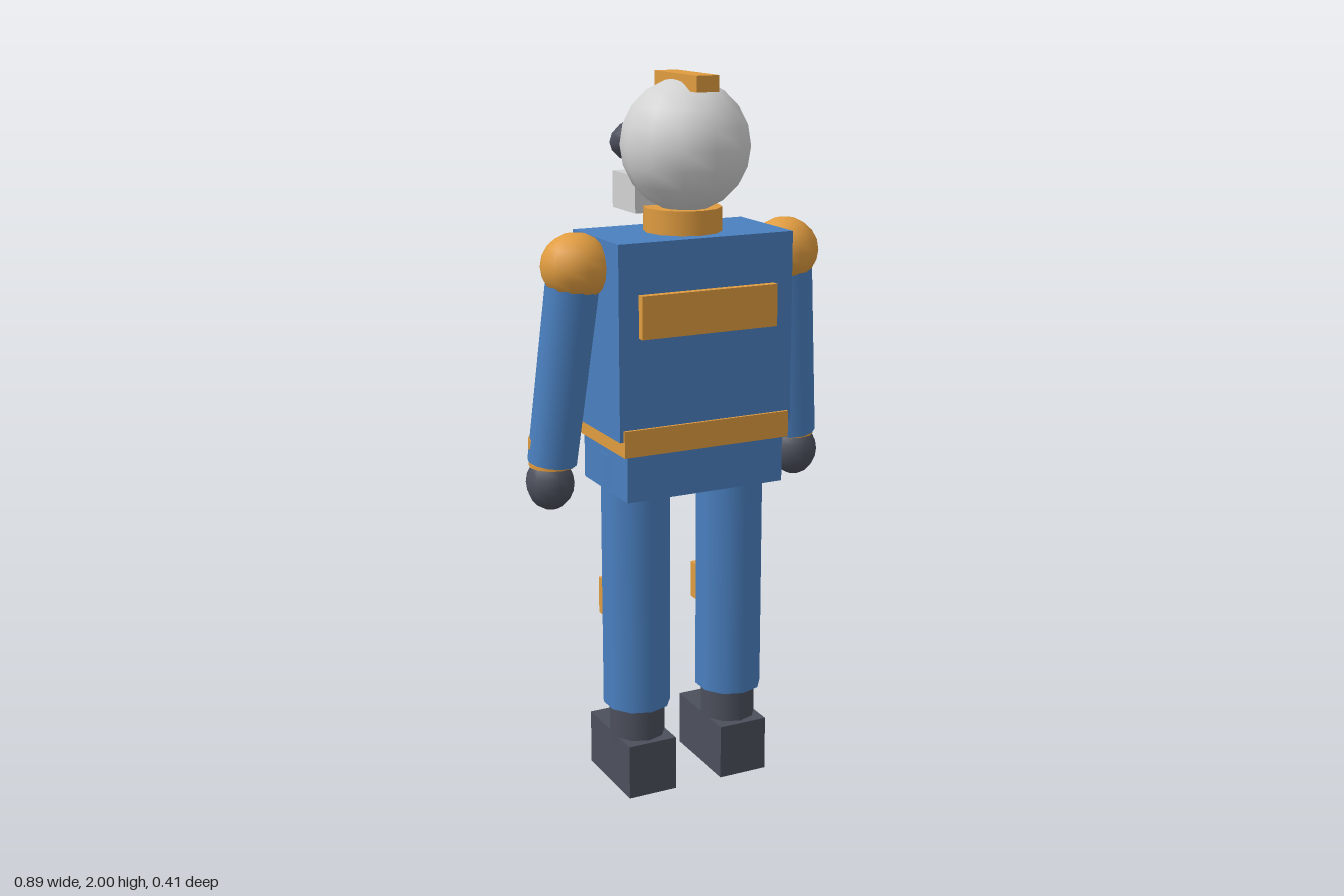
import * as THREE from 'three';

const mat = (name, color) => {
  const m = new THREE.MeshStandardMaterial({ color });
  m.name = name;
  return m;
};

export function createModel() {
  const blue = mat('suit blue', 0x4a80c0);
  const orange = mat('trim orange', 0xe09c40);
  const grey = mat('helmet grey', 0xd2d2d2);
  const dark = mat('dark grey', 0x4c505c);
  const model = new THREE.Group();
  model.name = 'suitedFigure';

  const add = (name, geometry, material, x, y, z) => {
    const mesh = new THREE.Mesh(geometry, material);
    mesh.name = name;
    mesh.position.set(x, y, z);
    model.add(mesh);
    return mesh;
  };
  // Box given by centre x, width and its y and z ranges
  const box = (name, material, x, w, y0, y1, z0, z1) =>
    add(name, new THREE.BoxGeometry(w, y1 - y0, z1 - z0), material, x, (y0 + y1) / 2, (z0 + z1) / 2);
  // Ellipsoid given by centre and radii
  const ball = (name, material, x, y, z, rx, ry, rz, seg = 12, rings = 10) =>
    add(name, new THREE.SphereGeometry(1, seg, rings).scale(rx, ry, rz), material, x, y, z);
  // Upright cylinder with separate x and z radii
  const post = (name, material, x, z, y0, y1, rx, rz, seg = 12) =>
    add(name, new THREE.CylinderGeometry(1, 1, y1 - y0, seg).scale(rx, 1, rz), material, x, (y0 + y1) / 2, z);

  // Head, with the face towards -z
  ball('helmet', grey, 0, 1.812, 0.018, 0.171, 0.177, 0.185);
  ball('visor', dark, 0, 1.813, -0.135, 0.15, 0.073, 0.072);
  box('breather', grey, 0, 0.234, 1.63, 1.73, -0.19, -0.045);
  box('crest', orange, 0, 0.066, 1.958, 2.0, -0.097, 0.148);
  post('neck', orange, 0, 0.004, 1.57, 1.65, 0.106, 0.11);

  // Body
  box('torso', blue, 0, 0.514, 1.06, 1.585, -0.141, 0.149);
  box('pelvis', blue, 0, 0.47, 0.89, 1.07, -0.136, 0.146);
  box('belt', orange, 0, 0.494, 1.018, 1.091, -0.148, 0.157);
  box('buckle', dark, 0, 0.124, 1.02, 1.09, -0.165, -0.14);
  box('frontBand', orange, 0, 0.4, 1.335, 1.45, 0.14, 0.171);
  box('backBand', orange, 0, 0.4, 1.335, 1.45, -0.162, -0.13);

  for (const s of [-1, 1]) {
    const side = s > 0 ? 'left' : 'right';

    // Arm: the sleeve slopes outwards and towards -z
    ball(side + 'Shoulder', orange, s * 0.314, 1.51, 0.005, 0.095, 0.091, 0.093);
    const top = new THREE.Vector3(s * 0.318, 1.51, 0.005);
    const wrist = new THREE.Vector3(s * 0.373, 0.975, -0.04);
    const axis = top.clone().sub(wrist);
    const mid = top.clone().add(wrist).multiplyScalar(0.5);
    const sleeve = add(side + 'Sleeve', new THREE.CylinderGeometry(0.073, 0.068, axis.length(), 12), blue, mid.x, mid.y, mid.z);
    sleeve.quaternion.setFromUnitVectors(new THREE.Vector3(0, 1, 0), axis.normalize());
    post(side + 'Cuff', orange, s * 0.371, -0.043, 0.965, 1.042, 0.065, 0.068);
    ball(side + 'Hand', dark, s * 0.38, 0.918, -0.04, 0.066, 0.075, 0.071);

    // Leg
    post(side + 'Leg', blue, s * 0.146, 0.005, 0.25, 0.99, 0.095, 0.099, 10);
    box(side + 'KneePad', orange, s * 0.146, 0.122, 0.485, 0.592, -0.115, -0.07);
    post(side + 'Ankle', dark, s * 0.146, 0.005, 0.127, 0.26, 0.078, 0.084, 10);
    box(side + 'Boot', dark, s * 0.145, 0.145, 0, 0.158, -0.162, 0.105);
  }
  return model;
}
